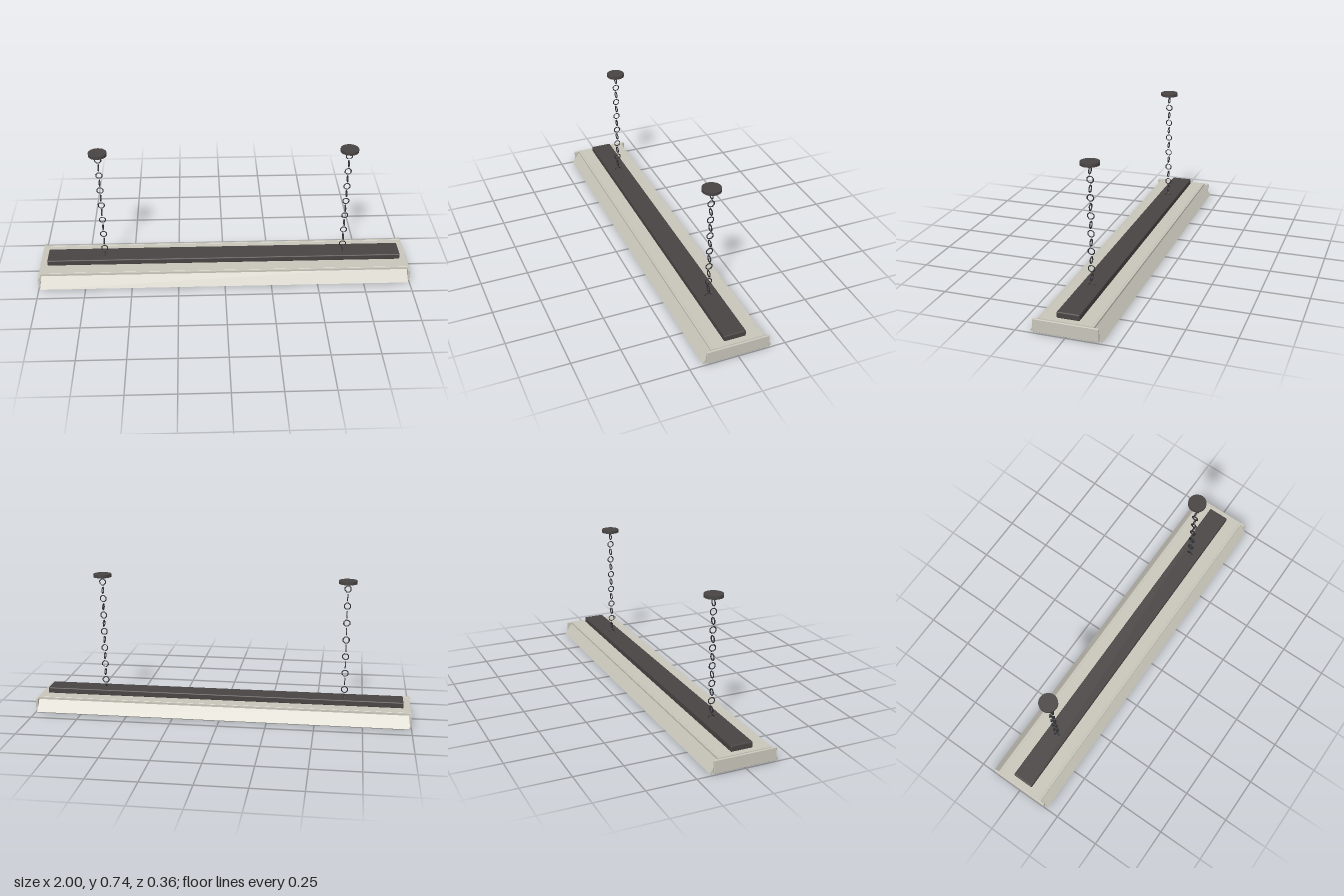
import * as THREE from 'three';
import { RoundedBoxGeometry } from 'three/addons/geometries/RoundedBoxGeometry.js';

const mat = (name, color) => {
  const m = new THREE.MeshStandardMaterial({ color });
  m.name = name;
  return m;
};

export function createModel() {
  const root = new THREE.Group();
  root.name = 'hangingTubeLight';
  const enamel = mat('warm grey enamel', 0xc8c5ba);
  const dark = mat('dark housing', 0x484443);
  const steel = mat('chain steel', 0x2e2f33);
  const lamp = mat('lamp glass', 0xd8d6cc);
  const black = mat('socket black', 0x2b2a2b);

  const add = (name, geo, material, x, y, z, parent = root) => {
    const m = new THREE.Mesh(geo, material);
    m.name = name;
    m.position.set(x, y, z);
    parent.add(m);
    return m;
  };

  // Reflector: flat top with two flared sides
  add('reflectorTop', new THREE.BoxGeometry(1.98, 0.01, 0.278), enamel, 0, 0.071, 0);
  const tilt = 0.63, len = 0.088, thick = 0.01;
  const c = Math.cos(tilt), s = Math.sin(tilt);
  for (const side of [-1, 1]) {
    const y = (len * c + thick * s) / 2;
    const z = 0.18 - (len * s + thick * c) / 2;
    const flank = add('reflectorSide', new THREE.BoxGeometry(1.98, len, thick), enamel, 0, y, side * z);
    flank.rotation.x = -side * tilt;
  }

  // Ballast housing along the top
  add('ballastHousing', new RoundedBoxGeometry(1.92, 0.032, 0.114, 2, 0.005), dark, 0, 0.09, 0);

  // Lamps
  for (const z of [-0.065, 0.065]) {
    const tube = add('lampTube', new THREE.CylinderGeometry(0.022, 0.022, 1.88, 20), lamp, 0, 0.025, z);
    tube.rotation.z = Math.PI / 2;
  }

  // Mirrored end parts and suspension chains
  for (const side of [-1, 1]) {
    add('endCap', new RoundedBoxGeometry(0.012, 0.068, 0.326, 2, 0.003), enamel, side * 0.994, 0.039, 0);
    add('lampSocket', new RoundedBoxGeometry(0.04, 0.053, 0.11, 2, 0.006), black, side * 0.945, 0.042, 0);

    const chain = new THREE.Group();
    chain.name = 'suspension';
    chain.position.x = side * 0.65;
    root.add(chain);
    add('ceilingCanopy', new THREE.CylinderGeometry(0.048, 0.048, 0.016, 24), dark, 0, 0.73, 0, chain);

    // Alternating chain links
    const link = new THREE.TorusGeometry(0.017, 0.003, 6, 8);
    link.rotateZ(Math.PI / 8);
    for (let i = 0; i < 14; i++) {
      const m = add('chainLink', link, steel, 0, 0.102 + i * 0.0455, 0, chain);
      if (i % 2 === 0) m.rotation.y = Math.PI / 2;
    }
  }
  return root;
}
